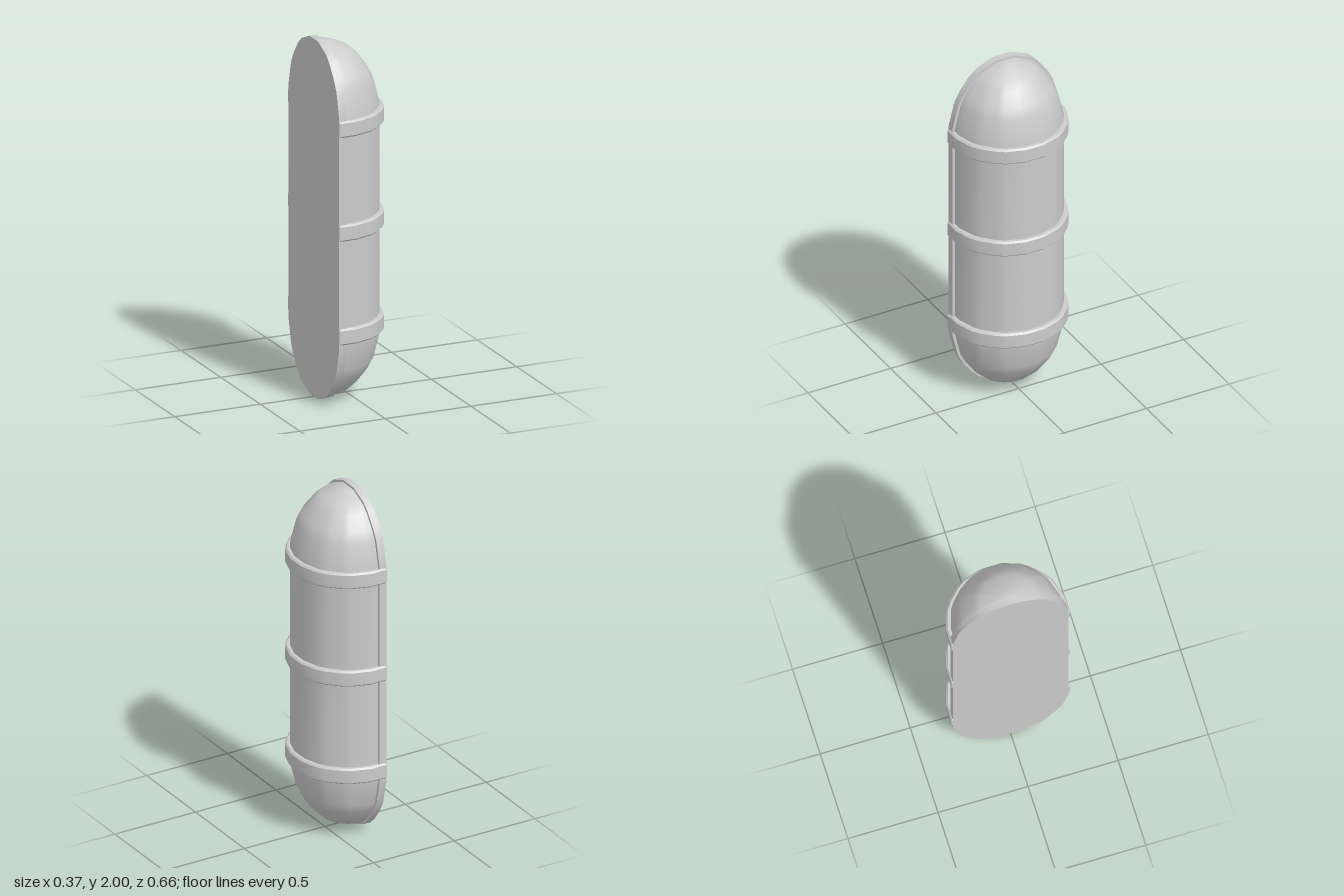
import * as THREE from 'three';
import { toCreasedNormals } from 'three/addons/utils/BufferGeometryUtils.js';

// Faceted quarter round, from (1, 0) to (0, 1)
const QUARTER = [[1, 0], [1, 0.167], [0.898, 0.486], [0.802, 0.625],
  [0.625, 0.802], [0.486, 0.898], [0.167, 1], [0, 1]];
// Half round from (0, -1) through (1, 0) to (0, 1)
const HALF = [...QUARTER.slice(1).reverse().map(([a, b]) => [a, -b]), ...QUARTER.slice(1)];

const BACK = -0.187, SEAT = -0.145; // rear face and front face of the back plate
const MID = 1, STRAIGHT = 0.58;     // centre height and half length of the straight part

const material = new THREE.MeshStandardMaterial({ color: 0xcccccc });

function addMesh(group, name, geometry) {
  const mesh = new THREE.Mesh(geometry, material);
  mesh.name = name;
  group.add(mesh);
  return mesh;
}

// Half capsule: the half-round plan swept up the height, shrinking at both ends
function shellGeometry(radius, dome) {
  const upper = QUARTER.map(([r, h]) => [r, STRAIGHT + dome * h]);
  const rows = [...upper.map(([r, h]) => [r, -h]).reverse(), ...upper];
  const positions = [], index = [], n = HALF.length;
  for (const [r, h] of rows) {
    for (const [x, z] of HALF) positions.push(SEAT + radius * r * x, MID + h, radius * r * z);
  }
  for (let i = 0; i < rows.length - 1; i++) {
    for (let j = 0; j < n - 1; j++) {
      const a = i * n + j, b = a + 1, c = a + n, d = c + 1;
      index.push(a, c, b, b, c, d);
    }
  }
  const geometry = new THREE.BufferGeometry();
  geometry.setAttribute('position', new THREE.Float32BufferAttribute(positions, 3));
  geometry.setIndex(index);
  geometry.computeVertexNormals();
  return geometry;
}

// Back plate: tall rounded outline, extruded along x
function plateGeometry(radius, dome) {
  const top = HALF.map(([h, z]) => new THREE.Vector2(-radius * z, MID + STRAIGHT + dome * h));
  const bottom = HALF.map(([h, z]) => new THREE.Vector2(radius * z, MID - STRAIGHT - dome * h));
  const geometry = new THREE.ExtrudeGeometry(new THREE.Shape([...top, ...bottom]),
    { depth: SEAT - BACK, bevelEnabled: false });
  geometry.rotateY(Math.PI / 2).translate(BACK, 0, 0);
  return toCreasedNormals(geometry, 0.5);
}

// Strap: bevelled half-round slab wrapped round the shell
function bandGeometry(radius, height, bevel) {
  const r = radius - bevel, back = BACK + bevel + 0.001;
  const points = [new THREE.Vector2(back, -r),
    ...HALF.map(([x, z]) => new THREE.Vector2(SEAT + r * x, r * z)),
    new THREE.Vector2(back, r)];
  const geometry = new THREE.ExtrudeGeometry(new THREE.Shape(points), {
    depth: height - 2 * bevel, bevelThickness: bevel, bevelSize: bevel, bevelSegments: 1,
  });
  geometry.rotateX(-Math.PI / 2).translate(0, bevel - height / 2, 0);
  return toCreasedNormals(geometry, 0.5);
}

export function createModel() {
  const group = new THREE.Group();
  group.name = 'wallCapsule';

  addMesh(group, 'backPlate', plateGeometry(0.32, 0.42));
  addMesh(group, 'shell', shellGeometry(0.304, 0.408));

  // Three straps
  const band = bandGeometry(0.329, 0.091, 0.009);
  ['lowerBand', 'middleBand', 'upperBand'].forEach((name, i) => {
    addMesh(group, name, band).position.y = MID + 0.004 + (i - 1) * 0.58;
  });
  return group;
}
